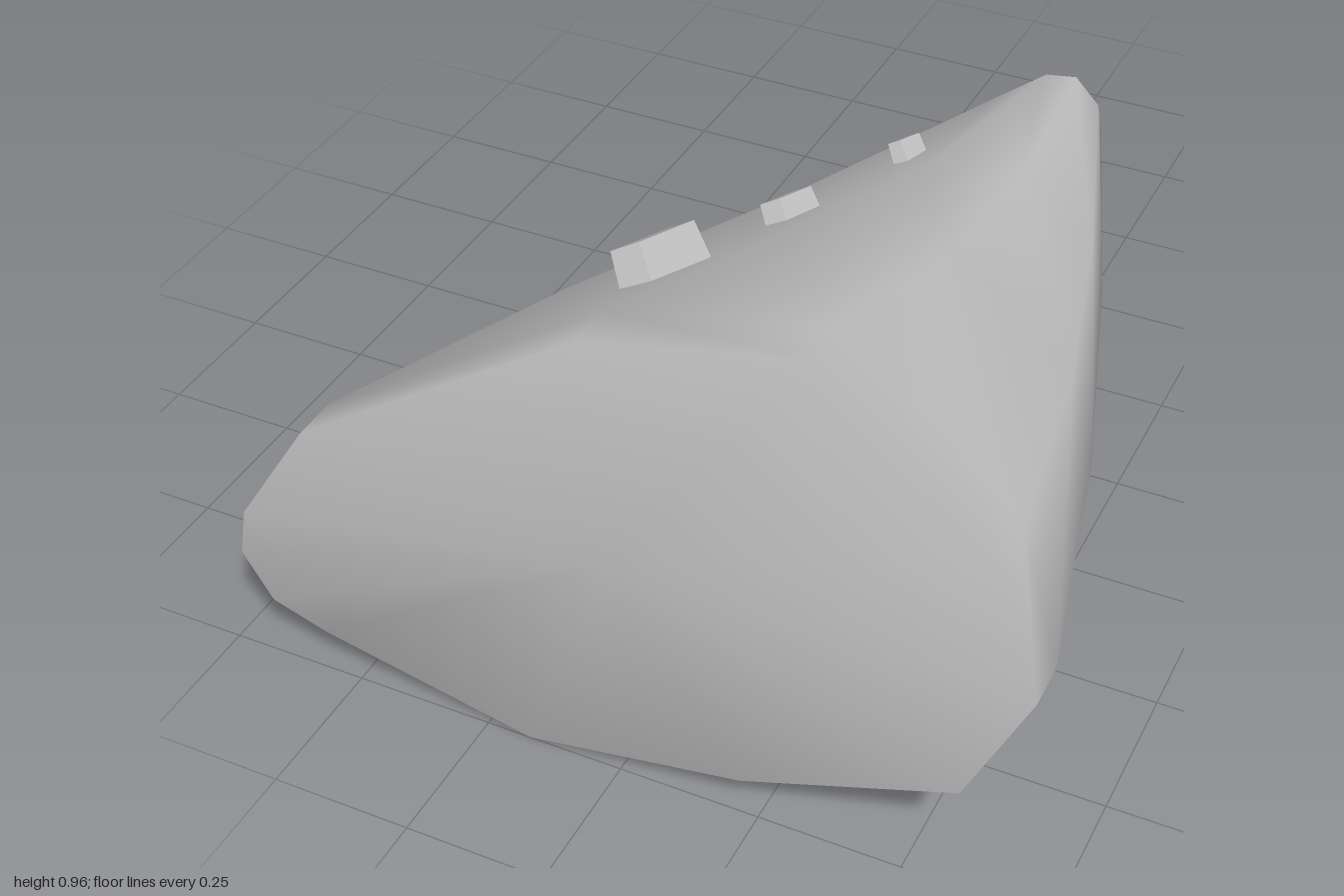
import * as THREE from 'three';

const material = new THREE.MeshStandardMaterial({ color: 0xcccccc, side: THREE.DoubleSide });

// Cross-section of the wide end, clockwise seen from the front
const SECTION = [
  [0.36, 0.965], [0.65, 0.695], [0.71, 0.445], [0.595, 0.21], [0.22, 0.07], [-0.17, 0],
  [-0.56, 0.085], [-0.66, 0.12], [-0.71, 0.21], [-0.69, 0.305], [-0.545, 0.525], [-0.02, 0.875],
];

// Stations along the horn: extents in x and y, z at the top and bottom, roundness
const STATIONS = [
  { x: [-0.71, 0.71], y: [0, 0.965], z: [1, 1], round: 0 },
  { x: [-0.71, 0.71], y: [0, 0.965], z: [0.92, 0.92], round: 0 },
  { x: [-0.57, 0.565], y: [0.07, 0.69], z: [0.32, 0.4], round: 0 },
  { x: [-0.367, 0.37], y: [0.075, 0.44], z: [-0.28, -0.2], round: 0.1 },
  { x: [-0.135, 0.125], y: [0.05, 0.25], z: [-0.93, -0.905], round: 0.3 },
  { x: [-0.09, 0.065], y: [0.075, 0.195], z: [-0.98, -0.975], round: 0.5 },
  { x: [-0.06, 0.02], y: [0.09, 0.145], z: [-1, -1], round: 0.6 },
];

// Smooth loft through the stations, closed at both ends
function hornGeometry() {
  const n = SECTION.length;
  const positions = [];
  const index = [];
  const lerp = THREE.MathUtils.lerp;
  for (const s of STATIONS) {
    for (const [px, py] of SECTION) {
      let u = px / 0.71;
      let v = (py / 0.965) * 2 - 1;
      const angle = Math.atan2(v, u);
      u = lerp(u, Math.cos(angle), s.round);
      v = lerp(v, Math.sin(angle), s.round);
      const tx = (u + 1) / 2;
      const ty = (v + 1) / 2;
      positions.push(lerp(...s.x, tx), lerp(...s.y, ty), lerp(s.z[1], s.z[0], ty));
    }
  }
  const last = STATIONS.length - 1;
  const frontCentre = positions.length / 3;
  const tipCentre = frontCentre + 1;
  positions.push(0, 0.45, 1, -0.02, 0.117, -1);
  for (let j = 0; j < n; j++) {
    const k = (j + 1) % n;
    for (let i = 0; i < last; i++) {
      const a = i * n + j, b = i * n + k, c = a + n, d = b + n;
      index.push(a, b, c, b, d, c);
    }
    index.push(frontCentre, k, j, tipCentre, last * n + j, last * n + k);
  }
  const geometry = new THREE.BufferGeometry();
  geometry.setAttribute('position', new THREE.Float32BufferAttribute(positions, 3));
  geometry.setIndex(index);
  geometry.computeVertexNormals();
  return geometry;
}

// Small tapered stud, base at the origin and sunk a little below it
function studGeometry(width, height, length) {
  const sink = 0.03;
  const geometry = new THREE.BoxGeometry(width, height + sink, length);
  geometry.translate(0, (height - sink) / 2, 0);
  const p = geometry.attributes.position;
  for (let i = 0; i < p.count; i++) {
    if (p.getY(i) > 0) {
      p.setX(i, p.getX(i) * 0.85);
      p.setZ(i, p.getZ(i) * 0.88);
    }
  }
  geometry.computeVertexNormals();
  return geometry;
}

export function createModel() {
  const group = new THREE.Group();
  group.name = 'taperedHorn';

  const horn = new THREE.Mesh(hornGeometry(), material);
  horn.name = 'hornBody';
  group.add(horn);

  // Row of studs standing square to the sloping upper face
  const up = new THREE.Vector3(0, 1, 0);
  const normal = new THREE.Vector3(-0.5, 0.8, -0.32).normalize();
  const studs = [
    { at: [-0.115, 0.645, 0.55], size: [0.07, 0.085, 0.19] },
    { at: [-0.095, 0.48, 0.115], size: [0.05, 0.065, 0.13] },
    { at: [-0.085, 0.325, -0.38], size: [0.035, 0.05, 0.09] },
  ];
  studs.forEach(({ at, size }, i) => {
    const stud = new THREE.Mesh(studGeometry(...size), material);
    stud.name = `stud${i + 1}`;
    stud.position.set(...at);
    stud.quaternion.setFromUnitVectors(up, normal);
    group.add(stud);
  });
  return group;
}
